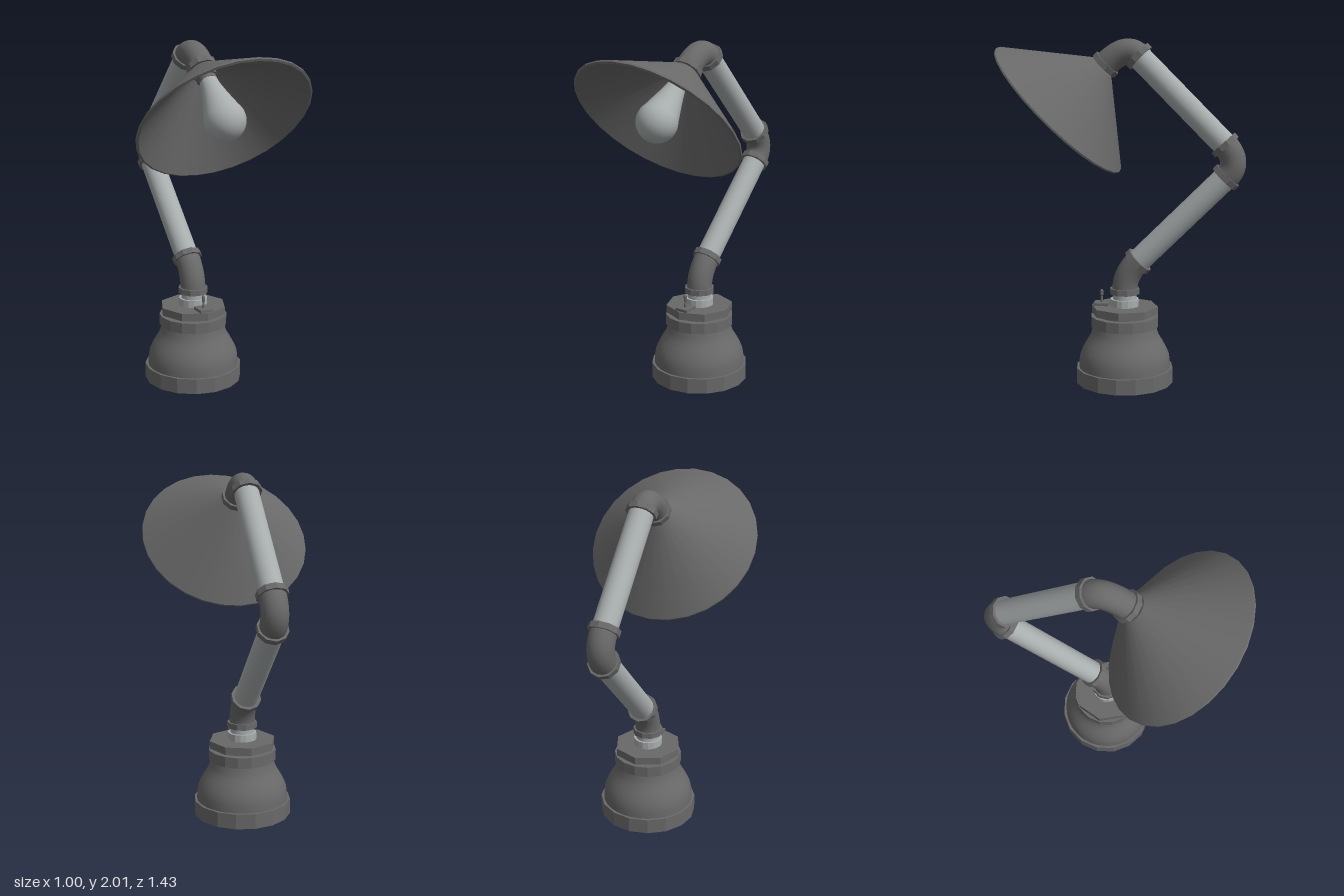
import * as THREE from 'three';
import { toCreasedNormals } from 'three/addons/utils/BufferGeometryUtils.js';

export function createModel() {
  const model = new THREE.Group();
  const iron = new THREE.MeshStandardMaterial({ color: 0x696969 });
  iron.name = 'dark iron';
  const steel = new THREE.MeshStandardMaterial({ color: 0xa8adad });
  steel.name = 'pale steel';
  const baseZ = -0.027;

  const add = (name, geometry, material, parent = model) => {
    const mesh = new THREE.Mesh(geometry, material);
    mesh.name = name;
    parent.add(mesh);
    return mesh;
  };
  const lathe = (points, sides, crease = 0.6) => toCreasedNormals(
    new THREE.LatheGeometry(points.map(([r, y]) => new THREE.Vector2(r, y)), sides), crease);
  const prism = (r, h, sides) => toCreasedNormals(new THREE.CylinderGeometry(r, r, h, sides), 0.3);
  // Aim local +y along a direction in the yz plane
  const aim = (object, y, z, dy, dz) => {
    object.position.set(0, y, z);
    object.rotation.x = Math.atan2(dz, dy);
    return object;
  };
  // Upright piece of the base between two heights
  const upright = (name, r, y0, y1, sides, material = iron) =>
    add(name, prism(r, y1 - y0, sides), material).position.set(0, (y0 + y1) / 2, baseZ);

  // Base: foot ring, bell reducer, upper ring and octagonal cap
  upright('footRing', 0.287, 0, 0.09, 16);
  add('bell', lathe([
    [0.27, 0.085], [0.268, 0.13], [0.262, 0.165], [0.248, 0.2], [0.227, 0.238],
    [0.207, 0.27], [0.194, 0.3], [0.187, 0.335],
  ], 32), iron).position.z = baseZ;
  upright('upperRing', 0.2, 0.335, 0.398, 16);
  upright('capThread', 0.16, 0.398, 0.412, 24);
  upright('octagonCap', 0.198, 0.41, 0.455, 8);
  upright('nippleNut', 0.084, 0.455, 0.498, 16, steel);
  upright('nipple', 0.07, 0.498, 0.54, 24, steel);

  // Toggle switch on the cap
  const toggle = new THREE.Group();
  toggle.name = 'toggleSwitch';
  toggle.position.set(0, 0.455, 0.11);
  model.add(toggle);
  add('switchPlate', new THREE.BoxGeometry(0.08, 0.016, 0.09), iron, toggle).position.y = 0.008;
  add('switchStem', new THREE.CylinderGeometry(0.006, 0.008, 0.06, 8), iron, toggle).position.y = 0.04;
  add('switchKnob', new THREE.CapsuleGeometry(0.01, 0.022, 4, 10), iron, toggle).position.y = 0.072;

  // Elbows: [start, bend corner, end] as [y, z], with a collar at each end
  const elbows = [
    [[0.545, baseZ], [0.643, baseZ], [0.723, -0.106]],
    [[1.227, -0.61], [1.311, -0.692], [1.41, -0.602]],
    [[1.905, -0.108], [1.976, -0.035], [1.859, 0.085]],
  ];
  elbows.forEach((points, i) => {
    const [a, b, c] = points.map(([y, z]) => new THREE.Vector3(0, y, z));
    const curve = new THREE.QuadraticBezierCurve3(a, b, c);
    add(`elbow${i + 1}`, new THREE.TubeGeometry(curve, 14, 0.074, 24), iron);
    [0, 1].forEach((t) => {
      const p = curve.getPoint(t), d = curve.getTangent(t);
      const collar = add(`elbow${i + 1}Collar${t + 1}`, prism(0.088, 0.034, 10), iron);
      aim(collar, p.y, p.z, d.y, d.z);
    });
  });

  // Straight pipes join each elbow to the next
  [0, 1].forEach((i) => {
    const [y0, z0] = elbows[i][2], [y1, z1] = elbows[i + 1][0];
    const dy = y1 - y0, dz = z1 - z0;
    const pipe = add(i ? 'upperArm' : 'lowerArm',
      new THREE.CylinderGeometry(0.07, 0.07, Math.hypot(dy, dz), 24), steel);
    aim(pipe, (y0 + y1) / 2, (z0 + z1) / 2, dy, dz);
  });

  // Lamp head, built along +y and tilted to shine forwards and down
  const head = new THREE.Group();
  head.name = 'lampHead';
  aim(head, 1.842, 0.112, -0.7, 0.714);
  model.add(head);
  add('shade', lathe([
    [0, 0.012], [0.072, 0.012], [0.488, 0.355], [0.5, 0.35], [0.5, 0.34], [0.08, -0.005], [0, -0.005],
  ], 28), iron, head);
  add('socket', prism(0.064, 0.045, 10), iron, head).position.y = 0.028;
  add('bulbCap', new THREE.CylinderGeometry(0.052, 0.052, 0.03, 20), iron, head).position.y = 0.06;

  // Pear-shaped bulb: tapered neck running into a round end
  const bulb = [[0.05, 0.065], [0.055, 0.11], [0.072, 0.18], [0.092, 0.25]];
  for (let i = 0; i <= 12; i++) {
    const a = -0.45 + (i / 12) * (Math.PI / 2 + 0.45);
    bulb.push([Math.max(0, 0.116 * Math.cos(a)), 0.345 + 0.116 * Math.sin(a)]);
  }
  add('bulb', lathe(bulb, 28, 1), steel, head);

  // Thin profiles are visible from both sides
  iron.side = steel.side = THREE.DoubleSide;
  return model;
}
